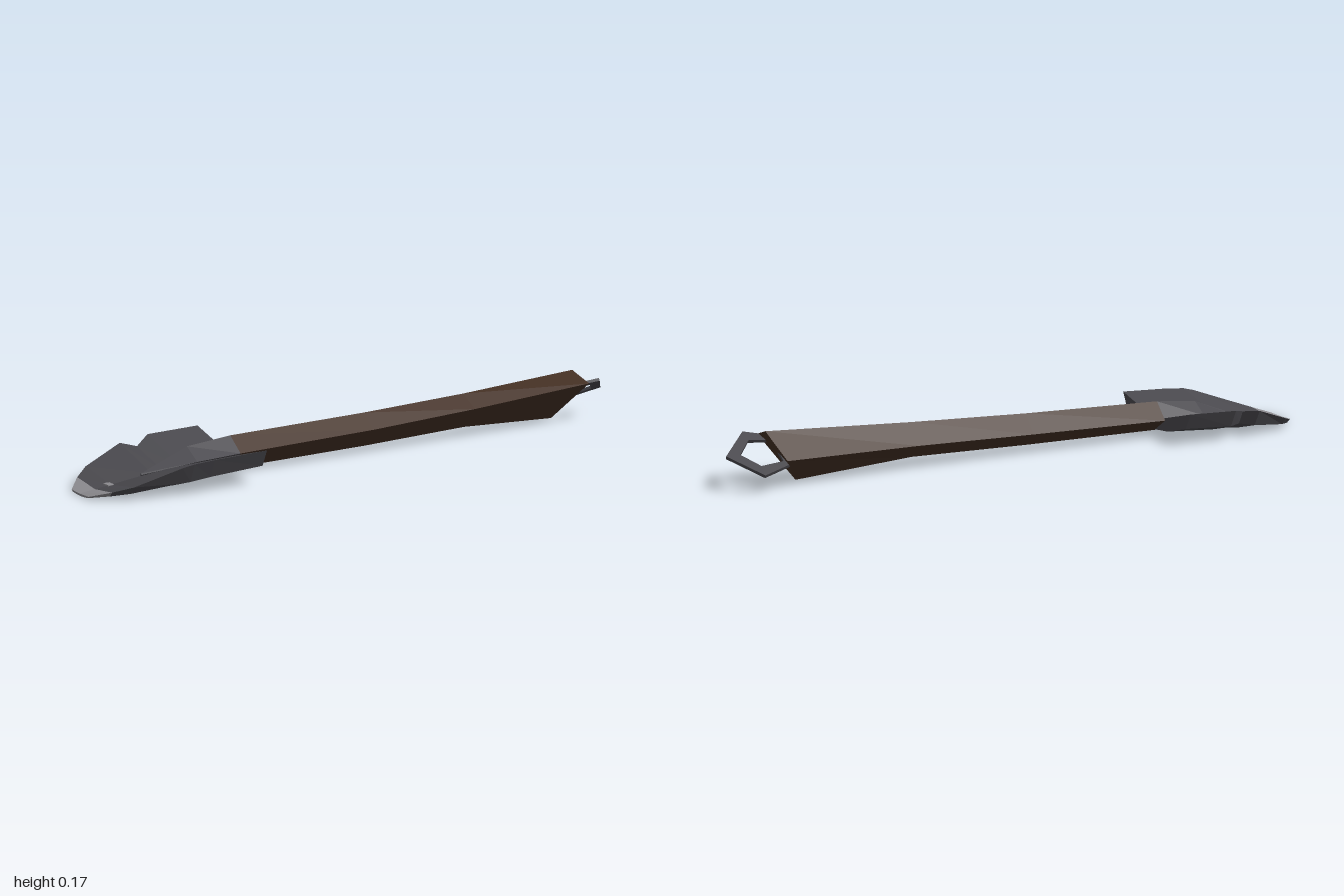
import * as THREE from 'three';

const flat = (name, color) => Object.assign(new THREE.MeshStandardMaterial({ color, flatShading: true }), { name });

// Skins a row of [x, y, z] rings ordered by growing x; matOf picks a material index per ring side.
function loft(name, rings, materials, matOf = () => 0) {
  const n = rings[0].length, pos = [], geo = new THREE.BufferGeometry();
  let start = 0;
  const close = (m) => {
    geo.addGroup(start, pos.length / 3 - start, m);
    start = pos.length / 3;
  };
  for (let j = 0; j < n; j++) {
    const k = (j + 1) % n;
    for (let i = 0; i < rings.length - 1; i++) {
      const p = rings[i], q = rings[i + 1];
      pos.push(...p[j], ...q[j], ...p[k], ...p[k], ...q[j], ...q[k]);
    }
    close(matOf(j));
  }
  const first = rings[0], last = rings[rings.length - 1];
  for (let k = 1; k < n - 1; k++) {
    pos.push(...first[0], ...first[k], ...first[k + 1]);
    pos.push(...last[0], ...last[k + 1], ...last[k]);
  }
  close(0);
  geo.setAttribute('position', new THREE.Float32BufferAttribute(pos, 3));
  geo.computeVertexNormals();
  const mesh = new THREE.Mesh(geo, materials);
  mesh.name = name;
  return mesh;
}

// Dished blade section: V-shaped top and a flat-bottomed underside.
function bladeRing([x, front, back, slope, top, side, bottom]) {
  return [
    [x, top, 0],
    [x, top + slope * back, -back],
    [x, side, -back * 0.87],
    [x, bottom + (side - bottom) * 0.2, -back * 0.36],
    [x, bottom, 0],
    [x, bottom + (side - bottom) * 0.2, front * 0.36],
    [x, side, front * 0.87],
    [x, top + slope * front, front],
  ];
}

export function createModel() {
  const group = new THREE.Group();
  const steel = flat('dark steel', 0x4a494e);
  const worn = flat('worn steel', 0x8c8b8f);
  const wood = flat('dark wood', 0x443024);

  // Blade, with a notch in its back edge; x, front and back widths, dish slope, top, side, bottom
  const blade = [
    [-1.0, 0.06, 0.05, 0.04, 0.006, 0.003, 0],
    [-0.95, 0.11, 0.115, 0.11, 0.012, 0.01, 0.001],
    [-0.9, 0.15, 0.16, 0.15, 0.018, 0.018, 0.001],
    [-0.765, 0.192, 0.2, 0.27, 0.035, 0.036, 0],
    [-0.73, 0.2, 0.155, 0.275, 0.04, 0.038, 0],
    [-0.665, 0.204, 0.21, 0.275, 0.044, 0.045, 0.005],
    [-0.49, 0.205, 0.21, 0.275, 0.05, 0.055, 0.017],
  ].map(bladeRing);
  group.add(loft('blade', blade.slice(1), [steel]));

  // Sharpened tip, bright on its upper faces and rim
  const rim = (j) => (j >= 2 && j <= 5 ? 1 : 0);
  group.add(loft('bladeTip', blade.slice(0, 2), [worn, steel], rim));
  const chip = new THREE.Mesh(new THREE.BoxGeometry(0.02, 0.006, 0.034), worn);
  chip.name = 'wornSpot';
  chip.position.set(-0.905, 0.0185, 0);
  group.add(chip);

  // Pointed socket joining the blade and handle
  group.add(loft('socket', [
    [[-0.8, 0.038, 0], [-0.8, 0.034, -0.004], [-0.8, 0.03, 0], [-0.8, 0.034, 0.004]],
    [[-0.64, 0.098, -0.008], [-0.64, 0.06, -0.064], [-0.64, 0.02, 0], [-0.64, 0.062, 0.054]],
    [[-0.49, 0.113, -0.008], [-0.49, 0.058, -0.06], [-0.49, 0.014, 0.005], [-0.49, 0.068, 0.052]],
  ], [steel]));

  // Four-sided handle, flaring to a slanted end
  group.add(loft('handle', [
    [[-0.49, 0.113, -0.008], [-0.49, 0.058, -0.06], [-0.49, 0.014, 0.005], [-0.49, 0.068, 0.052]],
    [[0, 0.125, -0.012], [0, 0.066, -0.06], [0, 0.02, -0.002], [0, 0.08, 0.047]],
    [[0.4, 0.141, -0.018], [0.4, 0.076, -0.066], [0.4, 0.03, -0.012], [0.4, 0.1, 0.047]],
    [[0.88, 0.168, -0.033], [0.84, 0.088, -0.103], [0.79, 0.01, -0.033], [0.868, 0.138, 0.07]],
  ], [wood]));

  // Flat angular hanging loop
  const toPoints = (list) => list.map(([x, y]) => new THREE.Vector2(x, y));
  const outline = new THREE.Shape(toPoints([[0.82, -0.066], [0.915, -0.103], [1, 0], [0.915, 0.103], [0.82, 0.066]]));
  outline.holes.push(new THREE.Path(toPoints([[0.84, -0.05], [0.84, 0.05], [0.912, 0.06], [0.957, 0], [0.912, -0.06]])));
  const loopGeo = new THREE.ExtrudeGeometry(outline, { depth: 0.01, bevelEnabled: false });
  loopGeo.translate(0, 0, -0.005);
  const loop = new THREE.Mesh(loopGeo, steel);
  loop.name = 'hangingLoop';
  loop.position.set(0, 0.1, -0.024);
  loop.rotation.x = Math.atan2(0.89, 0.455);
  group.add(loop);

  return group;
}
